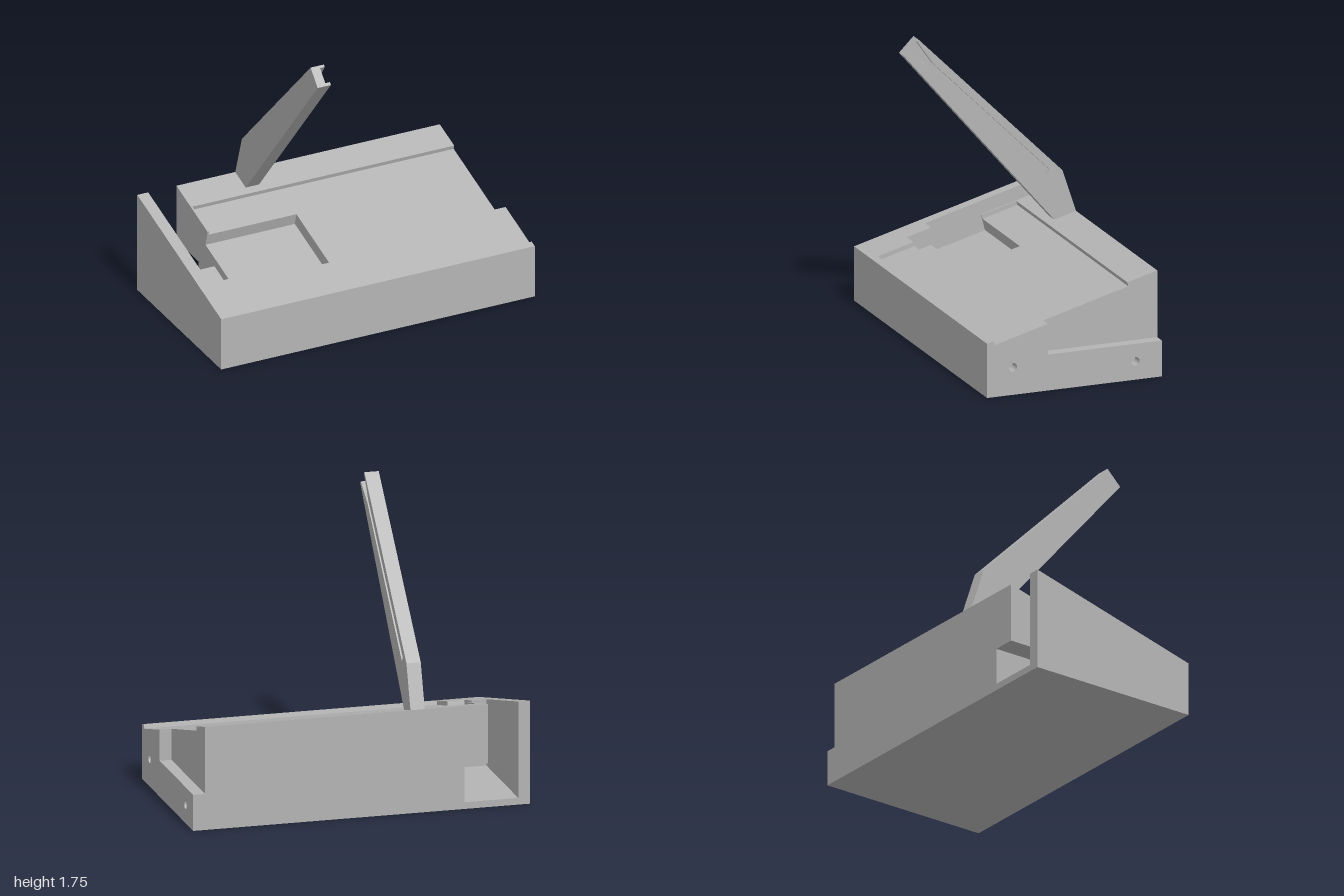
import * as THREE from 'three';

const HALF = 0.54;                       // half depth of the base
const TILT = Math.atan2(0.29, 2 * HALF); // slope of the top face
const RECESS = 0.025, POCKET = 0.1;      // depths below the sloped top

// Height of the sloped top at z
const top = (z, d = 0) => 0.325 + (HALF - z) * Math.tan(TILT) - d / Math.cos(TILT);
// Point at depth d, square to the slope, under the top point at z
const sunk = (z, d = 0) => [z - d * Math.sin(TILT), top(z) - d * Math.cos(TILT)];

// Side profile (z, y) pushed along x from x0 to x1, with optional round holes
function slab(name, x0, x1, points, material, holes = []) {
  const shape = new THREE.Shape(points.map(([z, y]) => new THREE.Vector2(z, y)));
  for (const [z, y, r] of holes) {
    const hole = new THREE.Path();
    hole.absarc(z, y, r, 0, Math.PI * 2, true);
    shape.holes.push(hole);
  }
  const geometry = new THREE.ExtrudeGeometry(shape, { depth: x1 - x0, bevelEnabled: false, curveSegments: 16 });
  geometry.rotateY(-Math.PI / 2);
  geometry.translate(x1, 0, 0);
  const mesh = new THREE.Mesh(geometry, material);
  mesh.name = name;
  return mesh;
}

export function createModel() {
  const grey = new THREE.MeshStandardMaterial({ color: 0xb4b4b4 });
  grey.name = 'plain grey';
  const model = new THREE.Group();
  model.name = 'slopedStand';

  // Pieces of the base profile, running from front to back
  const front = [[HALF, 0], [HALF, top(HALF)]];
  const back = [[-HALF, top(-HALF)]];
  const bottomBack = [[-HALF, 0]];
  const recessFront = [sunk(0.5), sunk(0.5, RECESS)];
  const recessBack = [sunk(-0.355, RECESS), sunk(-0.355)];
  const pocket = (d) => [sunk(0.28, d), sunk(0.28, POCKET), sunk(-0.14, POCKET), sunk(-0.14, d)];
  const undercut = [[-HALF, 0.26], [0.13, 0.26], [0.13, 0.04], [-HALF, 0.04]];
  const slotFloor = [[0.13, 0.04], [-HALF, 0.04]];

  // Base: slices across the width, each with its own cut-outs
  const base = new THREE.Group();
  base.name = 'base';
  base.add(
    slab('sideWall', -1, -0.93, [...front, ...back, ...bottomBack], grey),
    slab('slotOuter', -0.93, -0.84, [...front, [0.13, top(0.13)], ...slotFloor, ...bottomBack], grey),
    slab('slotInner', -0.84, -0.75, [...front, sunk(0.28), sunk(0.28, POCKET),
      [0.13, top(0.13, POCKET)], ...slotFloor, ...bottomBack], grey),
    slab('recessRim', -0.75, -0.74, [...front, ...pocket(0), ...back, ...undercut, ...bottomBack], grey),
    slab('undercutSection', -0.74, -0.61, [...front, ...recessFront, ...pocket(RECESS), ...recessBack,
      ...back, ...undercut, ...bottomBack], grey),
    slab('pocketSection', -0.61, -0.18, [...front, ...recessFront, ...pocket(RECESS), ...recessBack,
      ...back, ...bottomBack], grey),
    slab('traySection', -0.18, 0.93, [...front, ...recessFront, ...recessBack, ...back, ...bottomBack], grey),
    slab('steppedSide', 0.93, 1, [...front, ...recessFront, [0.165, top(0.165, RECESS)], [0.165, 0.215],
      [-HALF, 0.215], ...bottomBack], grey, [[0.38, 0.165, 0.025], [-0.377, 0.11, 0.025]])
  );
  model.add(base);

  // Arm: a solid layer and a layer with a flared groove open at the tip
  const armBack = [[0.43, 1.755], [-0.455, 0.87], [-HALF, 0.615], [-0.405, 0.579], [0.52, 1.665]];
  const groove = [[0.507, 1.678], [0.363, 1.586], [-0.358, 0.856], [-0.378, 0.882], [0.344, 1.605], [0.441, 1.744]];
  const arm = new THREE.Group();
  arm.name = 'arm';
  arm.add(
    slab('armSolidSide', -0.375, -0.32, armBack, grey),
    slab('armGroovedSide', -0.32, -0.29, [...armBack, ...groove], grey)
  );
  model.add(arm);
  return model;
}
